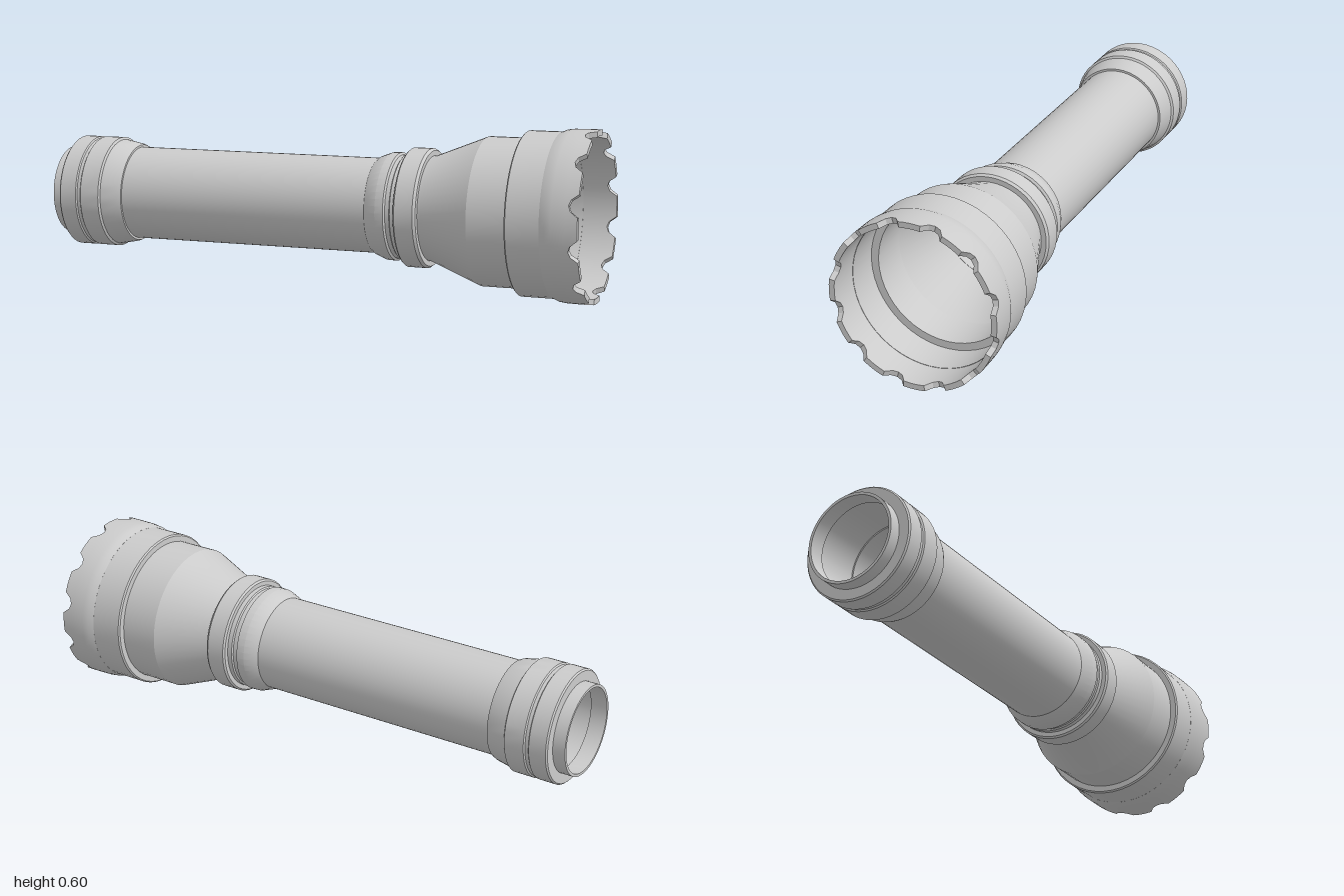
import * as THREE from 'three';
import { toCreasedNormals } from 'three/addons/utils/BufferGeometryUtils.js';

const AXIS_Y = 0.3;
const material = new THREE.MeshStandardMaterial({ color: 0xcccccc });

// Ring part from a closed section of [x along the axis, radius]:
// outer points run toward +x, inner points run back.
function ring(name, section, segments = 48, shape = null) {
  const points = [...section, section[0]].map(([x, r]) => new THREE.Vector2(r, x));
  const geometry = new THREE.LatheGeometry(points, segments);
  if (shape) shape(geometry.attributes.position);
  geometry.rotateZ(-Math.PI / 2);
  const mesh = new THREE.Mesh(toCreasedNormals(geometry, 0.35), material);
  mesh.name = name;
  mesh.position.y = AXIS_Y;
  return mesh;
}

// Cuts twelve rounded notches into the front rim
function scallop(position) {
  for (let i = 0; i < position.count; i++) {
    if (position.getY(i) < 0.99) continue;
    const angle = Math.atan2(position.getX(i), position.getZ(i));
    const wave = Math.max(0, -Math.cos(angle * 12));
    position.setY(i, 1 - 0.032 * Math.pow(wave, 0.7));
  }
}

export function createModel() {
  const group = new THREE.Group();
  group.name = 'flashlight';

  group.add(
    // Tail: thin lip, two bands split by a groove, taper to the tube
    ring('tailCap', [
      [-1, 0.16], [-0.955, 0.16], [-0.955, 0.196], [-0.95, 0.201],
      [-0.888, 0.201], [-0.884, 0.196], [-0.872, 0.196], [-0.868, 0.201],
      [-0.797, 0.201], [-0.792, 0.193], [-0.73, 0.181], [-0.718, 0.176], [-0.718, 0.16],
      [-0.94, 0.16], [-0.94, 0.15], [-1, 0.15],
    ]),
    // Long grip
    ring('bodyTube', [
      [-0.76, 0.168], [0.23, 0.168], [0.23, 0.155], [-0.76, 0.155],
    ]),
    // Stepped collar between grip and head
    ring('neckCollar', [
      [0.21, 0.164], [0.225, 0.176], [0.262, 0.19], [0.292, 0.191],
      [0.297, 0.183], [0.312, 0.183], [0.316, 0.188], [0.345, 0.188],
      [0.345, 0.163], [0.21, 0.16],
    ]),
    // Raised ring at the back of the head
    ring('neckRing', [
      [0.333, 0.204], [0.339, 0.21], [0.405, 0.21], [0.414, 0.203], [0.414, 0.182],
      [0.414, 0.175], [0.333, 0.175],
    ]),
    // Flared head with a hollow cone
    ring('head', [
      [0.405, 0.184], [0.425, 0.186], [0.61, 0.26], [0.755, 0.26],
      [0.755, 0.25], [0.61, 0.25], [0.425, 0.176], [0.405, 0.176],
    ]),
    // Wider band with an inner step
    ring('bezelBand', [
      [0.748, 0.281], [0.753, 0.286], [0.88, 0.286],
      [0.88, 0.277], [0.755, 0.277], [0.755, 0.25], [0.748, 0.25],
    ]),
    // Scalloped crown
    ring('crown', [
      [0.868, 0.286], [0.888, 0.294], [0.91, 0.297], [0.96, 0.298], [1, 0.298],
      [1, 0.278], [0.96, 0.278], [0.868, 0.278],
    ], 96, scallop),
  );
  return group;
}
